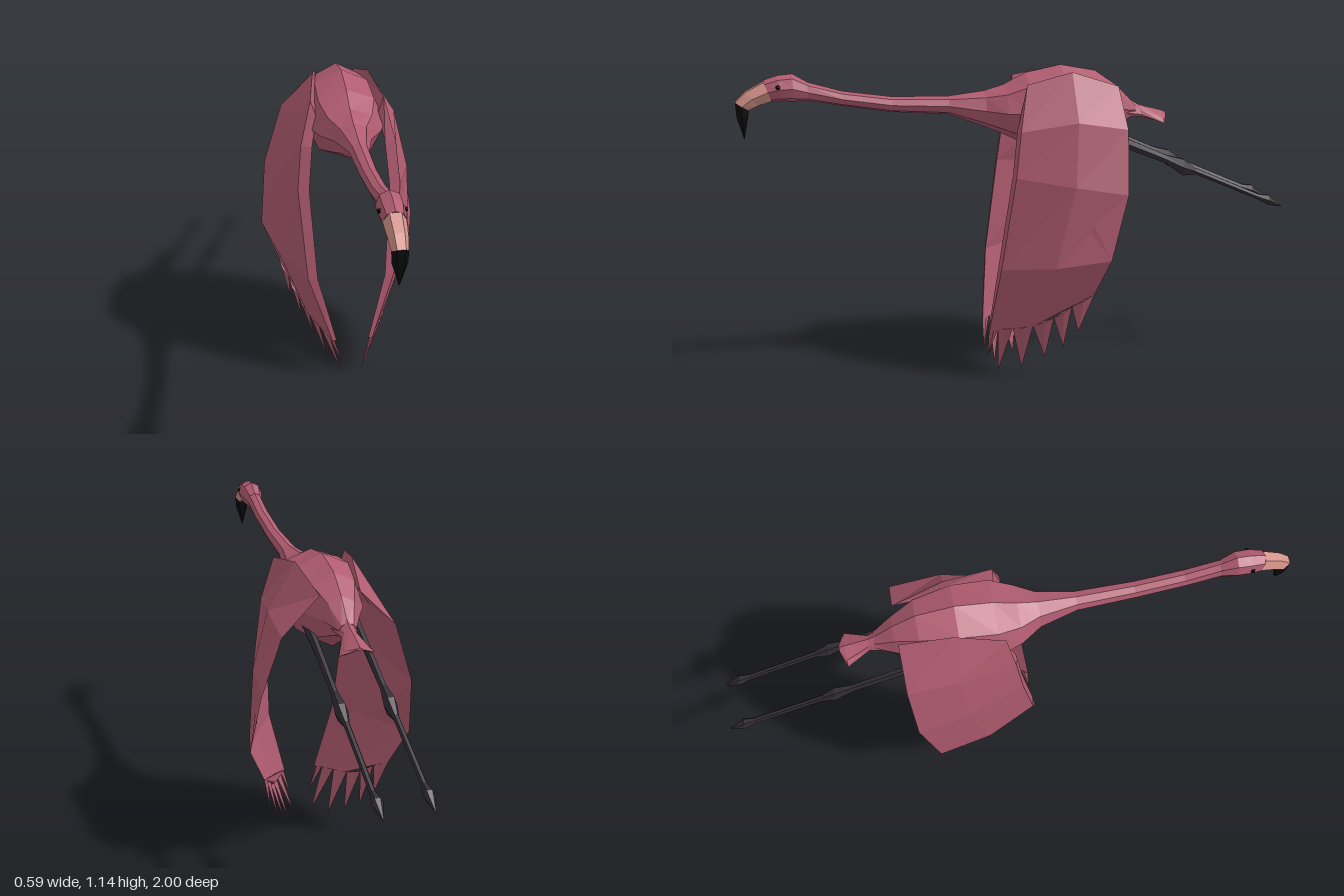
import * as THREE from 'three';

const mat = (color) => new THREE.MeshStandardMaterial({ color, flatShading: true, side: THREE.DoubleSide });

// Skin a list of rings (arrays of [x, y, z]) and close both ends.
function skin(rings) {
  const pos = [];
  const tri = (a, b, c) => pos.push(...a, ...b, ...c);
  const n = rings[0].length;
  for (let i = 0; i < rings.length - 1; i++) {
    for (let j = 0; j < n; j++) {
      const k = (j + 1) % n;
      tri(rings[i][j], rings[i][k], rings[i + 1][k]);
      tri(rings[i][j], rings[i + 1][k], rings[i + 1][j]);
    }
  }
  const first = rings[0], last = rings[rings.length - 1];
  for (let j = 1; j < n - 1; j++) {
    tri(first[0], first[j + 1], first[j]);
    tri(last[0], last[j], last[j + 1]);
  }
  return soup(pos);
}

function soup(pos) {
  const g = new THREE.BufferGeometry();
  g.setAttribute('position', new THREE.Float32BufferAttribute(pos, 3));
  g.computeVertexNormals();
  return g;
}

// Elliptical rings: each section is [y, z, rx, ry, tilt].
function loft(sections, sides, x = 0) {
  return skin(sections.map(([y, z, rx, ry, tilt = 0]) =>
    Array.from({ length: sides }, (_, j) => {
      const t = (j / sides) * Math.PI * 2;
      const s = Math.sin(t) * ry;
      return [x + Math.cos(t) * rx, y + s * Math.cos(tilt), z + s * Math.sin(tilt)];
    })));
}

// Profile rows [z, top, bottom, rx] to loft sections.
const profile = (rows) => rows.map(([z, top, bottom, rx]) => [(top + bottom) / 2, z, rx, (top - bottom) / 2]);

export function createModel() {
  const model = new THREE.Group();
  const pink = mat(0xb05c70), pale = mat(0xd4938a), dark = mat(0x332d35), black = mat(0x0c0b0d);
  const add = (name, geometry, material, parent = model) => {
    const mesh = new THREE.Mesh(geometry, material);
    mesh.name = name;
    parent.add(mesh);
    return mesh;
  };

  // Body, neck and head
  add('body', loft(profile([
    [-0.43, 1.0, 0.955, 0.03], [-0.36, 1.07, 0.91, 0.065], [-0.28, 1.125, 0.86, 0.105],
    [-0.15, 1.15, 0.84, 0.135], [-0.02, 1.125, 0.865, 0.14], [0.06, 1.085, 0.905, 0.11],
    [0.13, 1.065, 0.935, 0.065], [0.26, 1.05, 0.985, 0.035],
  ]), 8), pink);
  add('neck', loft(profile([
    [0.26, 1.05, 0.985, 0.035], [0.46, 1.055, 1.0, 0.03], [0.63, 1.08, 1.028, 0.029], [0.75, 1.115, 1.05, 0.028],
  ]), 8), pink);
  add('head', loft([
    [1.083, 0.75, 0.028, 0.033], [1.098, 0.8, 0.042, 0.048],
    [1.097, 0.845, 0.043, 0.045, 0.1], [1.088, 0.885, 0.036, 0.041, 0.35],
  ], 8), pink);

  // Face and hooked beak
  add('face', loft([
    [1.088, 0.885, 0.036, 0.041, 0.35], [1.065, 0.94, 0.031, 0.036, 0.7], [1.04, 0.974, 0.026, 0.031, 1.0],
  ], 6), pale);
  add('beak', loft([
    [1.04, 0.974, 0.026, 0.031, 1.0], [1.0, 0.975, 0.024, 0.022, 1.4], [0.925, 0.972, 0.001, 0.001, 1.57],
  ], 6), black);

  // Tail fan, its edges drooping
  const tail = loft([
    [0.96, -0.55, 0.012, 0.004], [0.962, -0.53, 0.062, 0.01],
    [0.975, -0.45, 0.028, 0.018], [1.0, -0.37, 0.05, 0.04],
  ], 8);
  const p = tail.attributes.position;
  for (let i = 0; i < p.count; i++) p.setY(i, p.getY(i) - Math.abs(p.getX(i)) * 0.5);
  tail.computeVertexNormals();
  add('tail', tail, pink);

  // Wing rows: trailing edge, outer middle, outer leading, inner leading, inner middle
  const rows = [
    [[0.07, 1.075, -0.35], [0.1, 1.135, -0.17], [0.13, 1.1, 0], [0.11, 1.04, 0], [0.08, 1.07, -0.17]],
    [[0.2, 0.94, -0.35], [0.2, 0.97, -0.17], [0.17, 0.94, 0.03], [0.13, 0.94, 0.035], [0.17, 0.95, -0.17]],
    [[0.27, 0.72, -0.335], [0.25, 0.75, -0.15], [0.185, 0.78, 0.05], [0.145, 0.78, 0.055], [0.222, 0.75, -0.15]],
    [[0.295, 0.49, -0.27], [0.25, 0.46, -0.08], [0.16, 0.44, 0.1], [0.125, 0.44, 0.105], [0.225, 0.46, -0.08]],
    [[0.235, 0.35, -0.225], [0.15, 0.215, -0.02], [0.075, 0.18, 0.13], [0.06, 0.18, 0.13], [0.138, 0.215, -0.02]],
  ];
  // Feather bases run along the wing end, tips hang below
  const bases = [[0.068, 0.18, 0.13], [0.085, 0.19, 0.1], [0.115, 0.2, 0.05], [0.145, 0.215, -0.02],
    [0.175, 0.25, -0.09], [0.205, 0.3, -0.15], [0.235, 0.35, -0.225]];
  const tips = [[0.037, 0.07, 0.13], [0.037, 0.01, 0.09], [0.08, 0.03, 0.01],
    [0.12, 0.08, -0.07], [0.16, 0.13, -0.13], [0.2, 0.2, -0.175]];

  for (const [side, s] of [['left', 1], ['right', -1]]) {
    const flip = ([x, y, z]) => [x * s, y, z];
    const wing = new THREE.Group();
    wing.name = side + 'Wing';
    model.add(wing);
    add('wingSurface', skin(rows.map((r) => (s > 0 ? r : r.map(flip).reverse()))), pink, wing);
    tips.forEach((tip, i) => {
      const a = bases[i], b = bases[i + 1];
      const ridge = (d) => [(a[0] + b[0]) / 2 + d, (a[1] + b[1]) / 2, (a[2] + b[2]) / 2];
      // each feather is a thin ridged blade
      let ring = [b, ridge(0.008), a, ridge(-0.008)].map(flip);
      if (s < 0) ring.reverse();
      const end = flip(tip);
      add('feather', skin([ring, ring.map(() => end)]), pink, wing);
    });

    // Eye
    const eye = add(side + 'Eye', new THREE.IcosahedronGeometry(0.009, 0), black);
    eye.position.set(s * 0.038, 1.105, 0.85);

    // Trailing leg with knee and folded foot
    add(side + 'Leg', loft([
      [0.597, -1, 0.002, 0.002], [0.625, -0.945, 0.019, 0.021], [0.638, -0.905, 0.011, 0.012],
      [0.75, -0.65, 0.011, 0.013], [0.768, -0.6, 0.023, 0.035], [0.8, -0.535, 0.013, 0.018],
      [0.875, -0.36, 0.014, 0.022], [0.93, -0.22, 0.02, 0.03],
    ], 6, s > 0 ? 0.075 : -0.092), dark);
  }
  return model;
}
